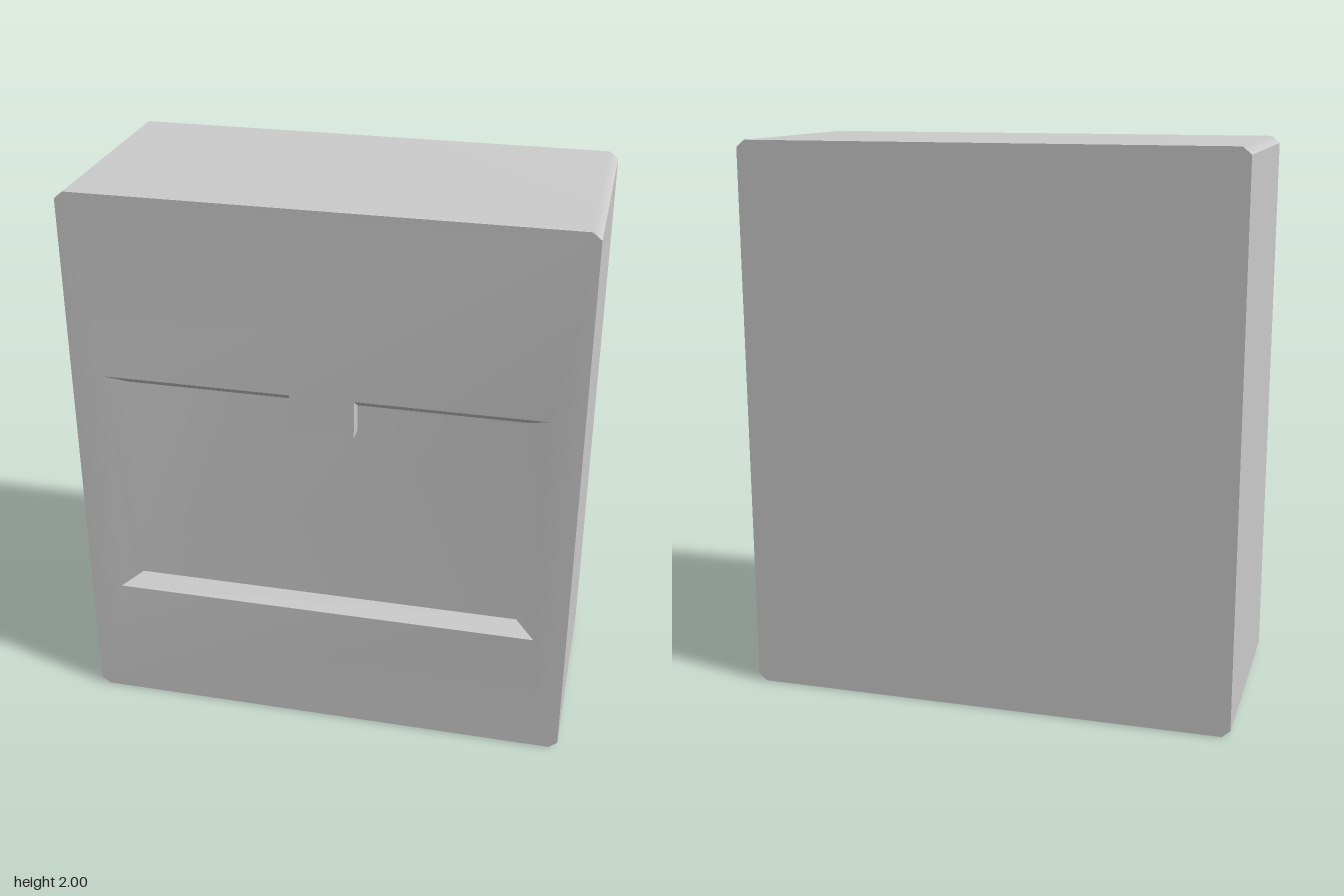
import * as THREE from 'three';
import { mergeGeometries, mergeVertices } from 'three/addons/utils/BufferGeometryUtils.js';

const W = 0.885, H = 2, D = 0.415, CX = 0.03, CY = 0.025; // half width, height, half depth, corner bevel
const FLOOR = D - 0.056; // z of the recess floor

const material = new THREE.MeshStandardMaterial({ color: 0xcccccc });

// Quad from four [x, y, z] corners, counter-clockwise seen from its front
function quad(a, b, c, d) {
  const g = new THREE.BufferGeometry();
  g.setAttribute('position', new THREE.Float32BufferAttribute([a, b, c, d].flat(), 3));
  g.setIndex([0, 1, 2, 0, 2, 3]);
  return g;
}

// Flat face from an outline at height z, with an optional hole
function face(points, z, hole) {
  const toVec = ([x, y]) => new THREE.Vector2(x, y);
  const shape = new THREE.Shape(points.map(toVec));
  if (hole) shape.holes.push(new THREE.Path(hole.map(toVec)));
  const g = new THREE.ShapeGeometry(shape).translate(0, 0, z);
  g.deleteAttribute('normal');
  g.deleteAttribute('uv');
  return g;
}

// Weld the pieces so the shading runs smoothly across them
function smooth(pieces) {
  const g = mergeVertices(mergeGeometries(pieces));
  g.computeVertexNormals();
  return g;
}

// Recess outline with a notch left for the tab
function recessRing(x, y0, y1) {
  return [[-x, y0], [x, y0], [x, y1], [0.118, y1], [0.118, 1.205],
    [-0.106, 1.205], [-0.106, y1], [-x, y1]];
}

export function createModel() {
  const group = new THREE.Group();
  const add = (name, geometry) => {
    const mesh = new THREE.Mesh(geometry, material);
    mesh.name = name;
    group.add(mesh);
  };

  // Body outline with bevelled corners
  const outline = [[-W, CY], [-W + CX, 0], [W - CX, 0], [W, CY],
    [W, H - CY], [W - CX, H], [-W + CX, H], [-W, H - CY]];

  // Outer shell: each strip covers consecutive outline edges
  const strips = { bottom: [0, 1, 2], leftSide: [3], top: [4, 5, 6], rightSide: [7] };
  for (const [name, edges] of Object.entries(strips)) {
    add(name, smooth(edges.map((i) => {
      const a = outline[i], b = outline[(i + 1) % 8];
      return quad([...a, D], [...a, -D], [...b, -D], [...b, D]);
    })));
  }
  add('back', smooth([face(outline, D).rotateY(Math.PI)]));

  // Recess walls join the rim to the smaller floor
  const rim = recessRing(0.77, 0.47, 1.342);
  const floor = recessRing(0.70, 0.51, 1.302);
  const walls = rim.map((a, i) => {
    const j = (i + 1) % 8;
    return quad([...a, D], [...rim[j], D], [...floor[j], FLOOR], [...floor[i], FLOOR]);
  });

  // Front panel, side slopes and recess floor flow into each other
  add('frontPanel', smooth([face(outline, D, rim), walls[1], walls[7], face(floor, FLOOR)]));

  // Sharp ledges and the walls of the central tab
  const sharp = { lowerLedge: 0, upperLedgeLeft: 2, tabLeft: 3, tabUnderside: 4, tabRight: 5, upperLedgeRight: 6 };
  for (const [name, i] of Object.entries(sharp)) add(name, smooth([walls[i]]));

  return group;
}
